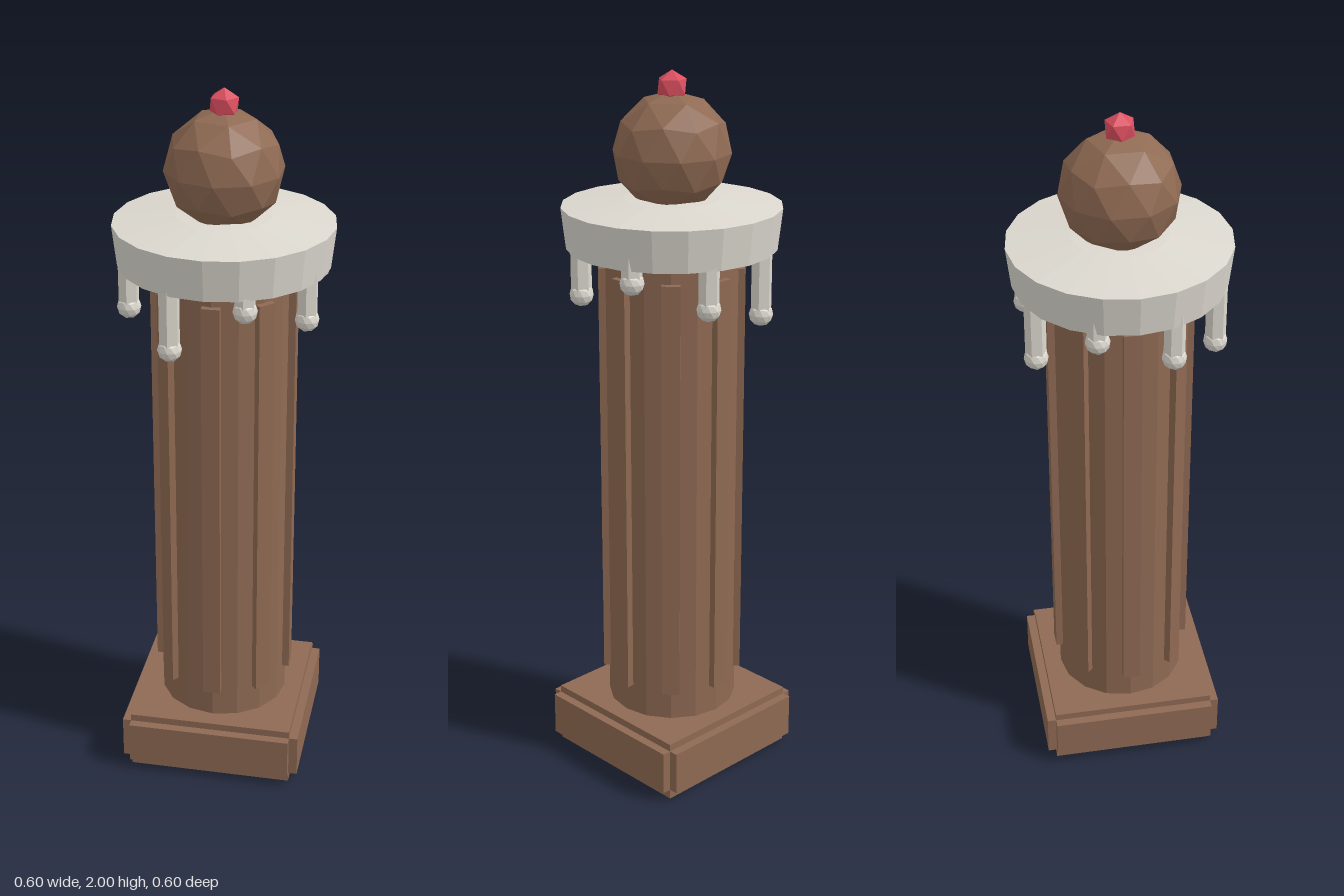
import * as THREE from 'three';

const mat = (name, color) => {
  const m = new THREE.MeshStandardMaterial({ color, flatShading: true });
  m.name = name;
  return m;
};

export function createModel() {
  const group = new THREE.Group();
  const brown = mat('brown', 0x8f6a53);
  const cream = mat('cream', 0xdcd8cf);
  const red = mat('cherryRed', 0xdc4f60);

  const add = (name, geometry, material, x = 0, y = 0, z = 0, turn = 0) => {
    const mesh = new THREE.Mesh(geometry, material);
    mesh.name = name;
    mesh.position.set(x, y, z);
    mesh.rotation.y = turn;
    group.add(mesh);
    return mesh;
  };

  // Faceted ball standing on one of its corners
  const ball = (radius, detail) => new THREE.IcosahedronGeometry(radius, detail)
    .rotateX(-Math.atan((1 + Math.sqrt(5)) / 2))
    .rotateY(Math.PI / 2);

  // Square plinth with notched edges
  add('plinthCore', new THREE.BoxGeometry(0.47, 0.175, 0.47), brown, 0, 0.0875, 0);
  add('plinthWide', new THREE.BoxGeometry(0.52, 0.125, 0.47), brown, 0, 0.0915, 0);
  add('plinthDeep', new THREE.BoxGeometry(0.47, 0.125, 0.52), brown, 0, 0.0915, 0);

  // Round shaft with eight raised ribs
  add('shaft', new THREE.CylinderGeometry(0.185, 0.185, 1.4, 16), brown, 0, 0.86, 0);
  const rib = new THREE.BoxGeometry(0.05, 1.21, 0.05);
  for (let i = 0; i < 8; i++) {
    const a = i * Math.PI / 4;
    add('rib', rib, brown, Math.sin(a) * 0.175, 0.865, Math.cos(a) * 0.175, a);
  }

  // Icing cap: slightly flared rim and a shallow crown
  const capProfile = [[0, 1.528], [0.287, 1.528], [0.3, 1.642], [0.13, 1.662], [0, 1.668]]
    .map(([r, y]) => new THREE.Vector2(r, y));
  add('icingCap', new THREE.LatheGeometry(capProfile, 20), cream);

  // Icing drips in three repeating lengths
  const tips = [1.39, 1.46, 1.337];
  const top = 1.565, r = 0.03;
  for (let i = 0; i < 8; i++) {
    const a = (i + 0.5) * Math.PI / 4;
    const x = Math.cos(a) * 0.26, z = Math.sin(a) * 0.26;
    const low = tips[i % 3] + r;
    add('drip', new THREE.CylinderGeometry(r * 0.95, r * 0.95, top - low, 6), cream, x, (top + low) / 2, z);
    add('dripTip', ball(r * 1.1, 1), cream, x, low, z);
  }

  // Chocolate ball and cherry
  add('topBall', ball(0.161, 1), brown, 0, 1.785, 0);
  add('cherry', ball(0.043, 0), red, 0, 1.957, 0);
  return group;
}
